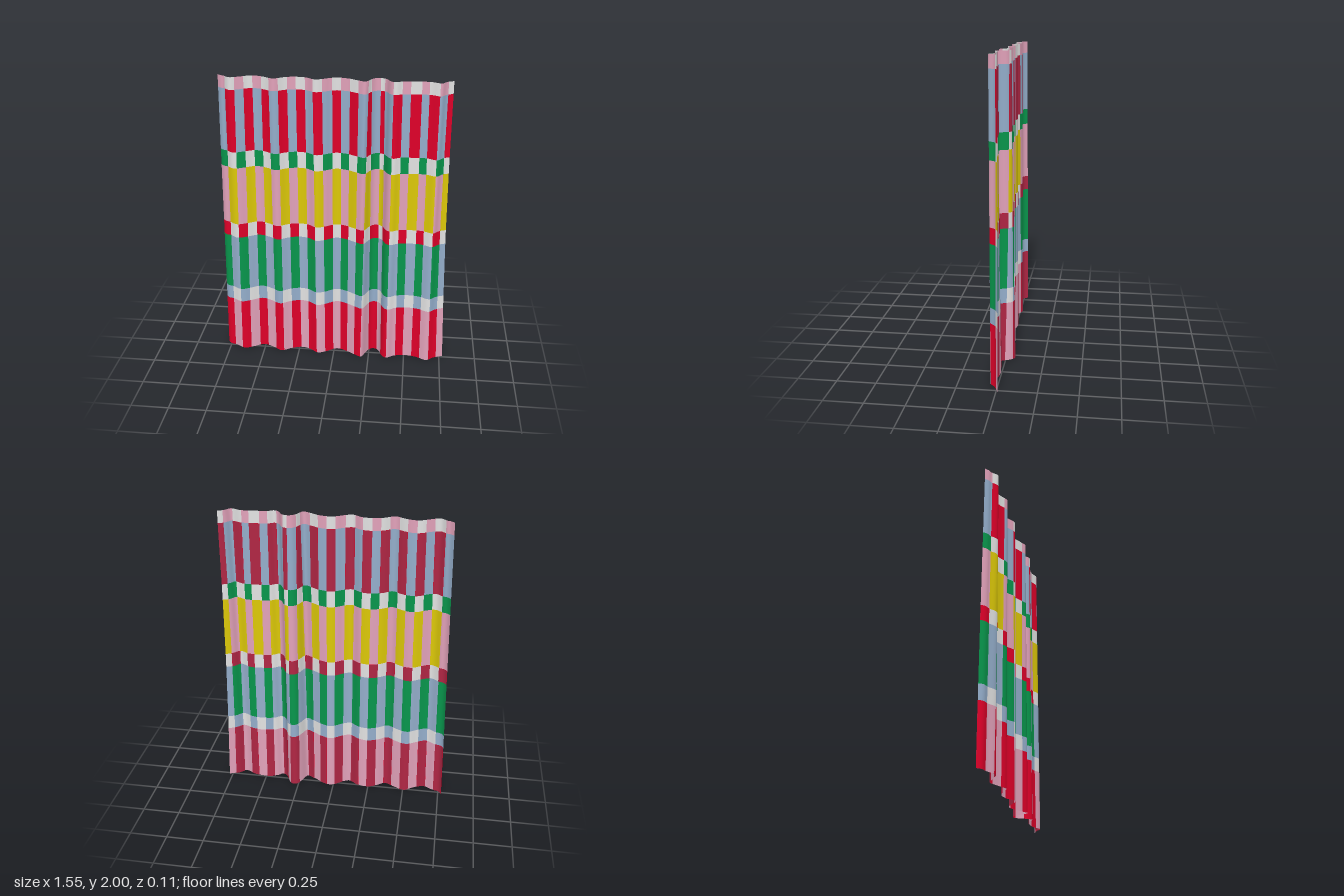
import * as THREE from 'three';

const { lerp, smoothstep } = THREE.MathUtils;
const cloth = (name, color) => new THREE.MeshStandardMaterial({ name, color, side: THREE.DoubleSide });

// Fold line seen from above: x, z
const FOLDS = [
  [-0.775, -0.032], [-0.765, -0.012], [-0.705, 0.013], [-0.642, 0.047], [-0.58, 0.022], [-0.508, -0.016],
  [-0.433, 0.012], [-0.371, 0.046], [-0.308, 0.01], [-0.235, -0.014], [-0.171, 0.002], [-0.113, 0.04],
  [-0.058, 0.02], [0.017, -0.027], [0.088, -0.004], [0.15, 0.034], [0.204, 0.051], [0.233, -0.01],
  [0.254, -0.044], [0.29, -0.054], [0.321, -0.027], [0.342, 0.024], [0.379, 0.051], [0.421, 0.024],
  [0.517, 0.006], [0.588, 0.02], [0.663, 0.05], [0.704, 0.018], [0.775, -0.012],
];
const foldAt = new THREE.CubicInterpolant(FOLDS.map((p) => p[0]), FOLDS.map((p) => p[1]), 1);

// Column edges (x) at two heights; columns narrow where the folds are steep
const LOW_Y = 0.5;
const LOW = [
  -0.762, -0.706, -0.646, -0.587, -0.529, -0.471, -0.41, -0.352, -0.296, -0.238, -0.18, -0.122, -0.063, -0.008, 0.045,
  0.095, 0.148, 0.198, 0.243, 0.299, 0.328, 0.373, 0.434, 0.487, 0.55, 0.603, 0.667, 0.72, 0.762,
];
const HIGH_Y = 1.7;
const HIGH = [
  -0.735, -0.683, -0.619, -0.566, -0.513, -0.455, -0.402, -0.344, -0.291, -0.238, -0.18, -0.127, -0.069, -0.011, 0.042,
  0.098, 0.153, 0.212, 0.235, 0.288, 0.315, 0.368, 0.423, 0.474, 0.54, 0.587, 0.651, 0.701, 0.735,
];
const COLUMNS = LOW.length - 1;
const SUB = 6;
const HALF_HEM = 0.775;
const HALF_TOP = 0.725;

// Depth of the cloth at a point
function depth(x, y) {
  const t = y / 2;
  const u = x / lerp(HALF_HEM, HALF_TOP, t);
  // Folds hang straight down, while the curled side edges follow the taper
  let z = foldAt.evaluate(lerp(x, u * HALF_HEM, smoothstep(Math.abs(u), 0.88, 1)))[0];
  if (z < 0) z *= 1 - 0.4 * t; // back folds get shallower upwards
  return z + 0.02 * t * Math.exp(-(((x - 0.5) / 0.07) ** 2)); // one valley fills out towards the top
}

// One horizontal band of columns alternating between two colours.
// A colour is one material, or a [front, back] pair where the reverse is faded.
function band(name, y0, y1, even, odd) {
  const geo = new THREE.PlaneGeometry(2, 1, COLUMNS * SUB, 1);
  const pos = geo.attributes.position;
  for (let i = 0; i < pos.count; i++) {
    const step = i % (COLUMNS * SUB + 1);
    const c = Math.min(Math.floor(step / SUB), COLUMNS - 1);
    const s = step / SUB - c;
    const y = pos.getY(i) > 0 ? y1 : y0;
    const x = lerp(lerp(LOW[c], LOW[c + 1], s), lerp(HIGH[c], HIGH[c + 1], s), (y - LOW_Y) / (HIGH_Y - LOW_Y));
    const inset = 0.012 * Math.sin((Math.PI * y) / 2) * smoothstep(x, 0.55, 0.75); // side edge curves in
    const lift = y === 0 ? 0.015 * Math.max(0, -x) : 0; // hem lifts slightly at one corner
    pos.setXYZ(i, x - inset, y + lift, depth(x, y));
  }
  geo.computeVertexNormals();

  const group = new THREE.Group();
  group.name = name;
  const addFace = (faceName, materials, shift) => {
    const face = geo.clone();
    for (let c = 0; c < COLUMNS; c++) {
      if (materials[c % 2]) face.addGroup(c * SUB * 6, SUB * 6, c % 2);
    }
    const p = face.attributes.position;
    const n = face.attributes.normal;
    for (let i = 0; i < p.count; i++) {
      p.setXYZ(i, p.getX(i) + n.getX(i) * shift, p.getY(i), p.getZ(i) + n.getZ(i) * shift);
    }
    const mesh = new THREE.Mesh(face, materials);
    mesh.name = faceName;
    group.add(mesh);
  };
  const pair = [even, odd];
  addFace(name + 'Cloth', pair.map((m) => (Array.isArray(m) ? m[0] : m)), 0);
  // Lining just behind the columns whose reverse differs
  if (pair.some(Array.isArray)) {
    addFace(name + 'Reverse', pair.map((m) => (Array.isArray(m) ? m[1] : null)), -0.003);
  }
  return group;
}

export function createModel() {
  const red = [cloth('red', 0xdf0029), cloth('fadedRed', 0xb02644)];
  const pink = cloth('pink', 0xe2a2ba);
  const blue = cloth('blue', 0x94aecb);
  const white = cloth('white', 0xe2e2e2);
  const green = cloth('green', 0x08964c);
  const yellow = cloth('yellow', 0xdcc808);

  const curtain = new THREE.Group();
  curtain.name = 'curtain';
  curtain.add(
    band('hemBand', 0, 0.4, red, pink),
    band('lowerNarrowBand', 0.4, 0.5, blue, white),
    band('lowerWideBand', 0.5, 0.9, green, blue),
    band('middleNarrowBand', 0.9, 1.0, red, white),
    band('middleWideBand', 1.0, 1.4, pink, yellow),
    band('upperNarrowBand', 1.4, 1.51, green, white),
    band('upperWideBand', 1.51, 1.92, blue, red),
    band('topBand', 1.92, 2, pink, white),
  );
  return curtain;
}
